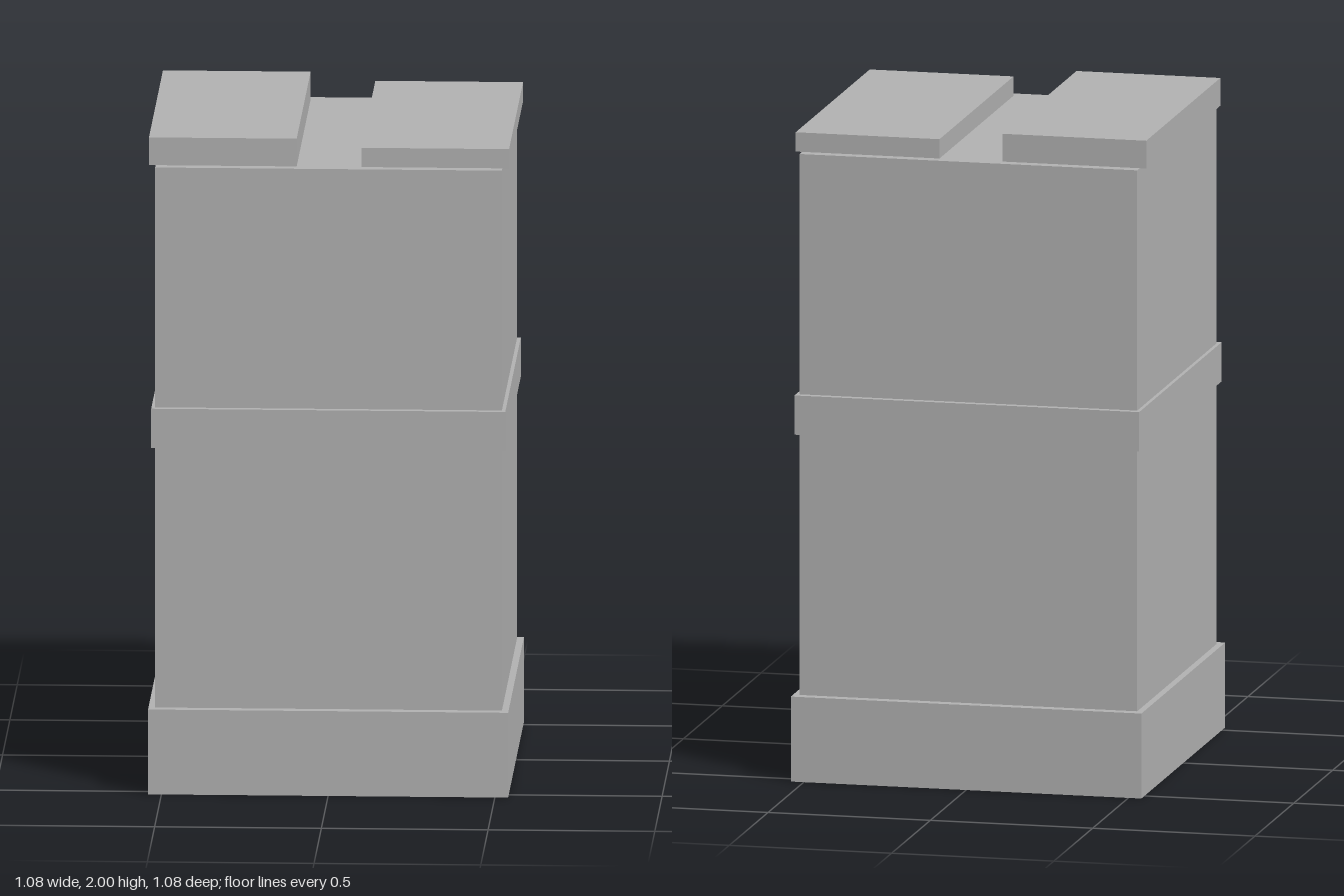
import * as THREE from 'three';

export function createModel() {
  const model = new THREE.Group();
  model.name = 'tower';
  const grey = new THREE.MeshStandardMaterial({ color: 0xb2b2b2 });
  grey.name = 'light grey';

  // Box given by its width, depth, bottom and top heights and x centre
  function block(name, width, depth, bottom, top, x = 0) {
    const mesh = new THREE.Mesh(new THREE.BoxGeometry(width, top - bottom, depth), grey);
    mesh.name = name;
    mesh.position.set(x, (bottom + top) / 2, 0);
    model.add(mesh);
  }

  // Plinth, two storeys and the belt between them
  block('base', 1.08, 1.08, 0, 0.26);
  block('lowerBody', 1.04, 1.02, 0.26, 1.06);
  block('belt', 1.062, 1.062, 1.06, 1.18);
  block('upperBody', 1.04, 1.02, 1.18, 1.915);

  // Roof slabs of unequal height with a gap between them
  block('rightRoofSlab', 0.443, 0.954, 1.915, 2, -0.3185);
  block('leftRoofSlab', 0.443, 0.954, 1.915, 1.974, 0.3185);

  return model;
}
